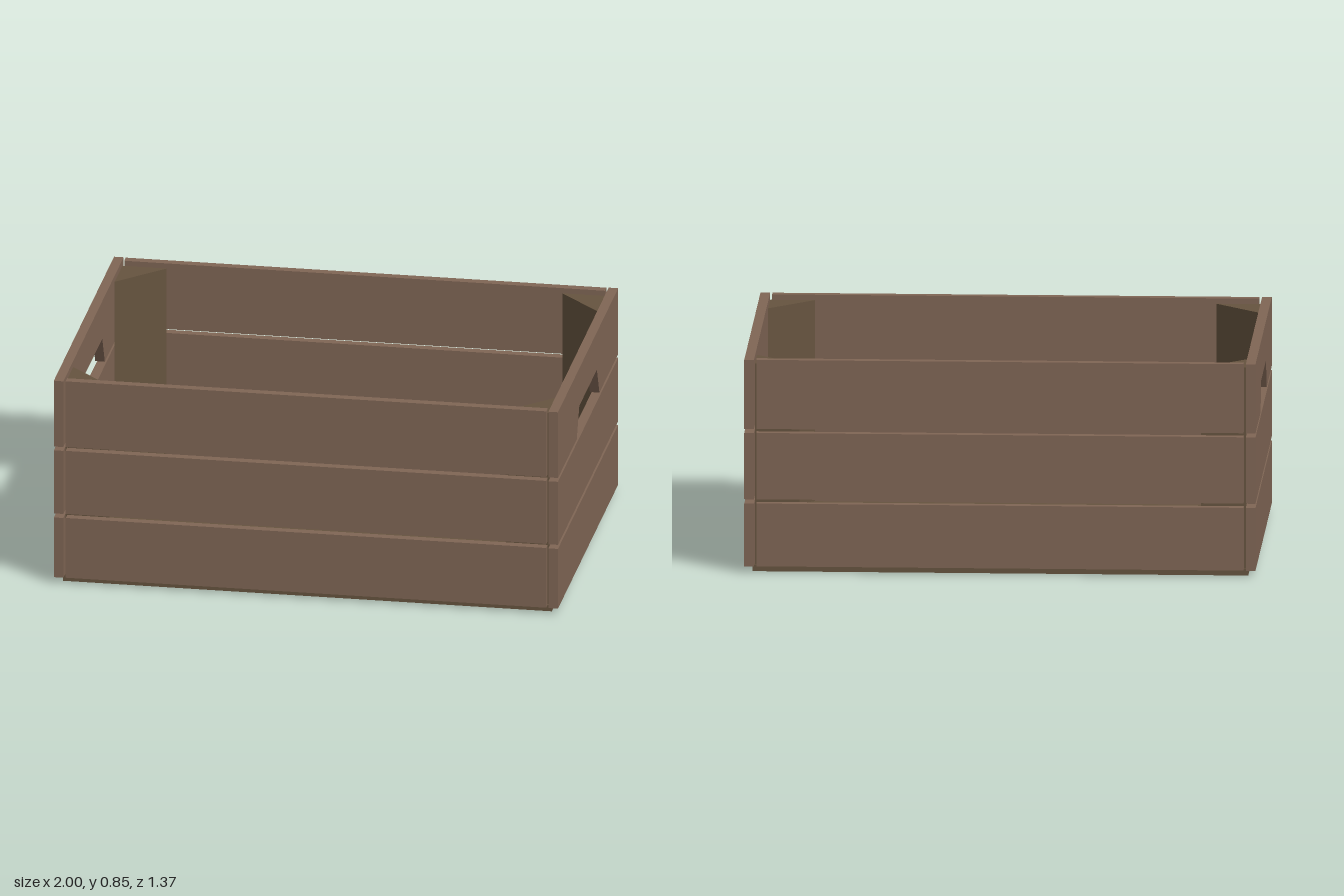
import * as THREE from 'three';

export function createModel() {
  const crate = new THREE.Group();
  crate.name = 'crate';
  const boardMat = new THREE.MeshStandardMaterial({ color: 0x806655 });
  const slatMat = new THREE.MeshStandardMaterial({ color: 0x66543f });

  const add = (name, geometry, material) => {
    const mesh = new THREE.Mesh(geometry, material);
    mesh.name = name;
    crate.add(mesh);
    return mesh;
  };
  // Box given by its min and max on each axis
  const plank = (name, [x0, x1], [y0, y1], [z0, z1], material) =>
    add(name, new THREE.BoxGeometry(x1 - x0, y1 - y0, z1 - z0), material)
      .position.set((x0 + x1) / 2, (y0 + y1) / 2, (z0 + z1) / 2);
  const polygon = (points) => new THREE.Shape(points.map(([x, y]) => new THREE.Vector2(x, y)));

  // Floor slats running along x
  const slats = [[-0.65, -0.438], [-0.412, -0.153], [-0.131, 0.131], [0.153, 0.412], [0.435, 0.652]];
  for (const z of slats) plank('floorSlat', [-0.97, 0.97], [0, 0.026], z, slatMat);

  // Three rows of wall boards
  const rows = [[0.026, 0.276], [0.293, 0.557], [0.573, 0.848]];
  rows.forEach((y, i) => {
    plank('frontBoard', [-0.953, 0.953], y, [0.649, 0.684], boardMat);
    plank('backBoard', [-0.953, 0.953], y, [-0.684, -0.649], boardMat);
    if (i < 2) {
      plank('leftBoard', [0.962, 1], y, [-0.686, 0.686], boardMat);
      plank('rightBoard', [-1, -0.962], y, [-0.686, 0.686], boardMat);
    }
  });

  // Top end boards with the handle cut out of the lower edge
  const [y0, y1] = rows[2];
  const handleShape = polygon([
    [-0.686, y0], [-0.258, y0], [-0.2, 0.691], [0.2, 0.691],
    [0.258, y0], [0.686, y0], [0.686, y1], [-0.686, y1],
  ]);
  const handleGeo = new THREE.ExtrudeGeometry(handleShape, { depth: 0.038, bevelEnabled: false });
  handleGeo.rotateY(-Math.PI / 2);
  add('leftHandleBoard', handleGeo, boardMat).position.x = 1;
  add('rightHandleBoard', handleGeo, boardMat).position.x = -0.962;

  // Triangular posts inside the four corners
  for (const sx of [-1, 1]) {
    for (const sz of [-1, 1]) {
      const corner = polygon([
        [sx * 0.96, -sz * 0.647], [sx * 0.785, -sz * 0.647], [sx * 0.96, -sz * 0.472],
      ]);
      const post = new THREE.ExtrudeGeometry(corner, { depth: 0.8, bevelEnabled: false });
      post.rotateX(-Math.PI / 2);
      add('cornerPost', post, slatMat).position.y = 0.027;
    }
  }
  return crate;
}
